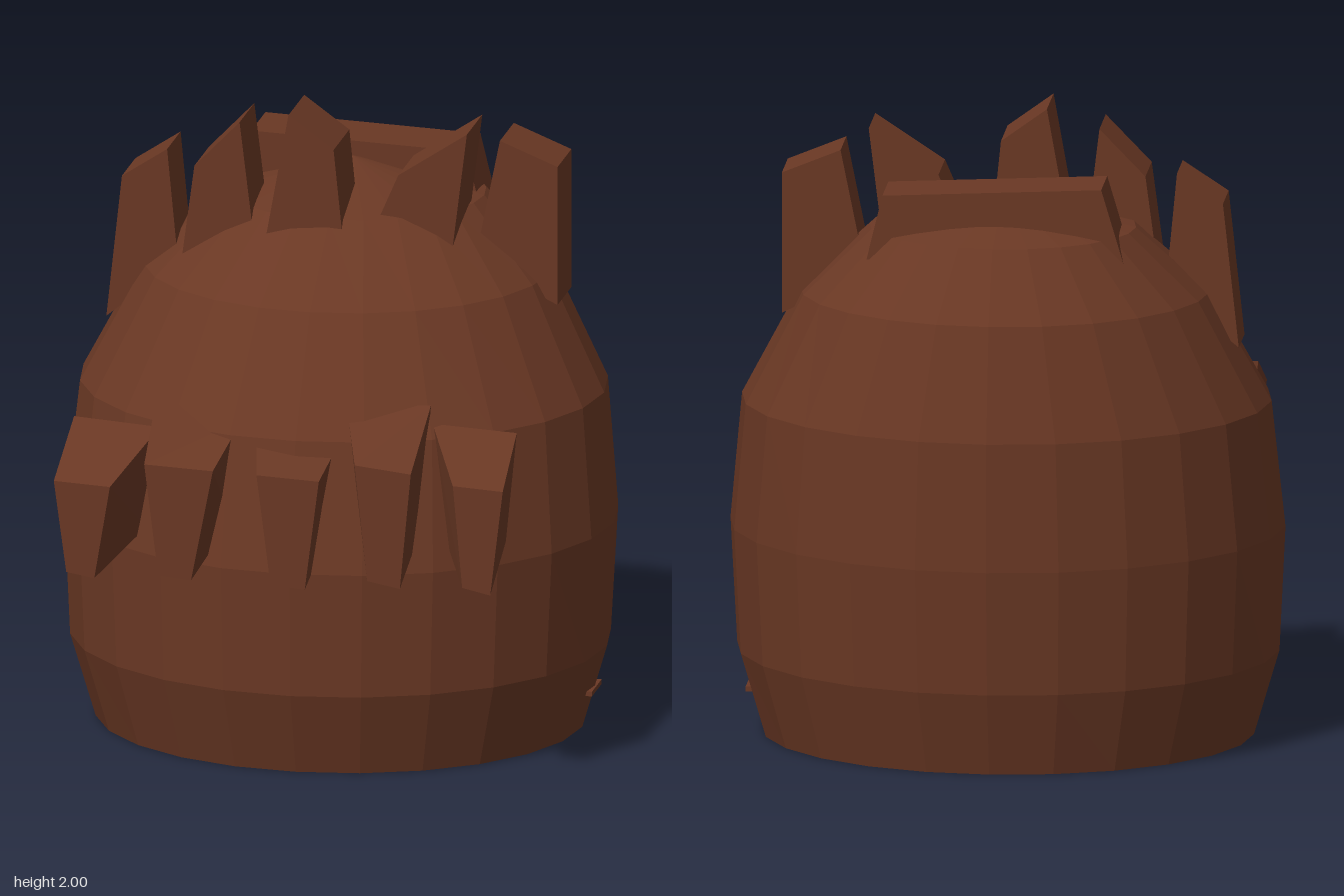
import * as THREE from 'three';

// Solid between a front quad and a back quad (each: top-left, top-right, bottom-right, bottom-left)
function wedge(front, zFront, back, zBack) {
  const corners = [...front.map(([x, y]) => [x, y, zFront]), ...back.map(([x, y]) => [x, y, zBack])];
  const index = [3, 2, 1, 3, 1, 0, 6, 7, 4, 6, 4, 5];
  for (let i = 0; i < 4; i++) {
    const j = (i + 1) % 4;
    index.push(i, j, j + 4, i, j + 4, i + 4);
  }
  const indexed = new THREE.BufferGeometry();
  indexed.setAttribute('position', new THREE.Float32BufferAttribute(corners.flat(), 3));
  indexed.setIndex(index);
  const geometry = indexed.toNonIndexed();
  geometry.computeVertexNormals();
  return geometry;
}

export function createModel() {
  const model = new THREE.Group();
  const brown = new THREE.MeshStandardMaterial({ color: 0x6a3824, flatShading: true });
  brown.name = 'brown';
  const add = (name, geometry) => {
    const mesh = new THREE.Mesh(geometry, brown);
    mesh.name = name;
    model.add(mesh);
    return mesh;
  };

  // Rounded shell: each ring is y, half width, front z, back z
  const rings = [
    [0, 0, -0.03, -0.03],
    [0, 0.775, 0.665, -0.73],
    [0.27, 0.855, 0.75, -0.81],
    [0.67, 0.875, 0.76, -0.845],
    [1.08, 0.835, 0.67, -0.835],
    [1.44, 0.645, 0.45, -0.75],
    [1.66, 0.42, 0.15, -0.61],
    [1.765, 0, -0.23, -0.23],
  ];
  const lathe = new THREE.LatheGeometry(rings.map(([y, r]) => new THREE.Vector2(r, y)), 24);
  const pos = lathe.attributes.position;
  for (let k = 0; k < pos.count; k++) {
    const [, r, zf, zb] = rings[k % rings.length];
    const unit = r > 0 ? pos.getZ(k) / r : 0;
    pos.setZ(k, (zf + zb) / 2 + unit * (zf - zb) / 2);
  }
  const shell = lathe.toNonIndexed();
  shell.computeVertexNormals();
  add('shell', shell);

  // Upright tufts on the crown: outline, front z, back z
  const tufts = [
    [[[-0.69, 1.73], [-0.545, 1.825], [-0.51, 1.46], [-0.74, 1.27]], 0.025, -0.185],
    [[[-0.44, 1.8], [-0.295, 1.95], [-0.25, 1.58], [-0.48, 1.5]], 0.11, -0.12],
    [[[-0.125, 2], [0.02, 1.895], [0.05, 1.6], [-0.197, 1.6]], 0.175, -0.07],
    [[[0.21, 1.8], [0.43, 1.945], [0.385, 1.58], [0.145, 1.65]], 0.09, -0.15],
    [[[0.51, 1.895], [0.695, 1.82], [0.695, 1.37], [0.43, 1.5]], -0.035, -0.25],
  ];
  tufts.forEach(([outline, zf, zb], i) => add(`crownTuft${i + 1}`, wedge(outline, zf, outline, zb)));

  // Wide tuft behind the crown
  const wide = [[-0.33, 1.825], [0.36, 1.795], [0.41, 1.59], [-0.4, 1.59]];
  add('backTuft', wedge(wide, -0.24, wide, -0.46));

  // Fringe of tapered locks leaning forward: front quad, back quad
  const fringe = [
    [[[-0.74, 0.955], [-0.56, 0.945], [-0.61, 0.645], [-0.7, 0.66]],
      [[-0.74, 1.08], [-0.465, 1.06], [-0.51, 0.73], [-0.7, 0.75]]],
    [[[-0.45, 1.025], [-0.23, 1.015], [-0.3, 0.655], [-0.405, 0.665]],
      [[-0.475, 1.16], [-0.2, 1.1], [-0.235, 0.77], [-0.44, 0.78]]],
    [[[-0.09, 1.01], [0.11, 1], [0.065, 0.645], [-0.045, 0.655]],
      [[-0.155, 1.08], [0.118, 1.055], [0.07, 0.73], [-0.12, 0.75]]],
    [[[0.225, 1.06], [0.405, 1.04], [0.37, 0.665], [0.265, 0.685]],
      [[0.135, 1.165], [0.405, 1.18], [0.375, 0.78], [0.195, 0.77]]],
    [[[0.54, 1.01], [0.7, 1], [0.66, 0.66], [0.57, 0.68]],
      [[0.41, 1.12], [0.68, 1.105], [0.645, 0.75], [0.45, 0.75]]],
  ];
  fringe.forEach(([front, back], i) => add(`fringeLock${i + 1}`, wedge(front, 0.84, back, 0.525)));

  // Small ridge poking out low on the left side
  add('sideRidge', new THREE.BoxGeometry(0.04, 0.015, 0.15)).position.set(0.802, 0.13, -0.03);

  return model;
}
